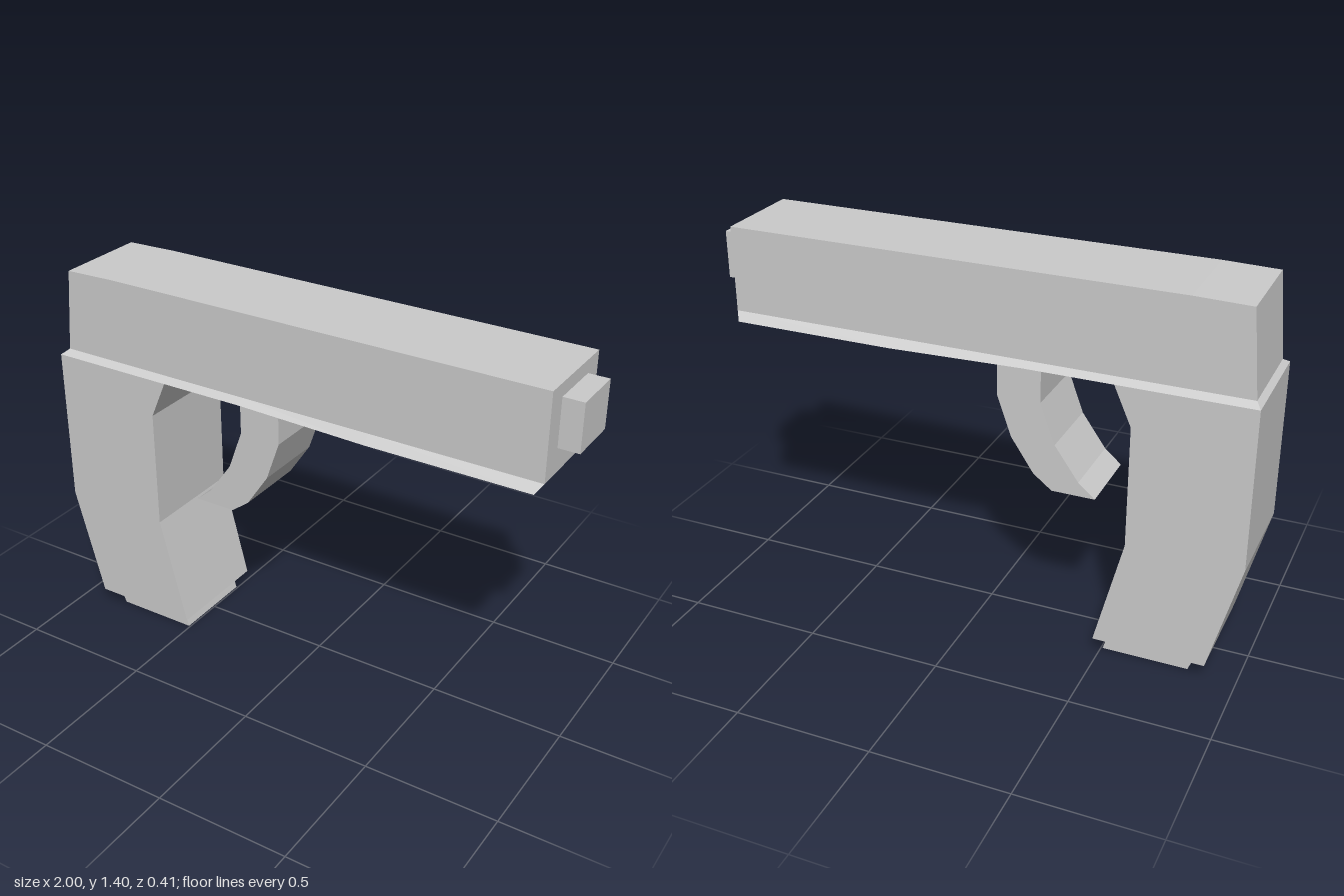
import * as THREE from 'three';

const material = new THREE.MeshStandardMaterial({ color: 0xcccccc, flatShading: true });

function addMesh(group, name, geometry) {
  const mesh = new THREE.Mesh(geometry, material);
  mesh.name = name;
  group.add(mesh);
  return mesh;
}

// Side outline extruded symmetrically about z = 0
function slab(points, halfWidth) {
  const shape = new THREE.Shape(points.map(([x, y]) => new THREE.Vector2(x, y)));
  const geometry = new THREE.ExtrudeGeometry(shape, { depth: halfWidth * 2, bevelEnabled: false });
  return geometry.translate(0, 0, -halfWidth);
}

// Four-cornered cross-sections joined along x and capped at both ends
function loft(sections) {
  const positions = sections.flat(2);
  const index = [];
  for (let i = 0; i < sections.length - 1; i++) {
    for (let k = 0; k < 4; k++) {
      const a = i * 4 + k, b = i * 4 + (k + 1) % 4;
      index.push(a, b, b + 4, a, b + 4, a + 4);
    }
  }
  const e = (sections.length - 1) * 4;
  index.push(0, 2, 1, 0, 3, 2, e, e + 1, e + 2, e, e + 2, e + 3);
  const indexed = new THREE.BufferGeometry();
  indexed.setAttribute('position', new THREE.Float32BufferAttribute(positions, 3));
  indexed.setIndex(index);
  const geometry = indexed.toNonIndexed();
  geometry.computeVertexNormals();
  return geometry;
}

export function createModel() {
  const model = new THREE.Group();
  model.name = 'blockyPistol';

  // Upper body with a slanted rear
  addMesh(model, 'slide', slab([
    [-0.98, 1.085], [0.925, 1.085], [0.925, 1.4], [-0.75, 1.4], [-0.95, 1.395],
  ], 0.177));

  // Flared rail under the slide: [top x, bottom x, bottom y]
  const stations = [[-0.98, -1, 1.068], [-0.2, -0.2, 1.068], [0.3, 0.3, 1.055], [0.925, 0.905, 1.055]];
  addMesh(model, 'rail', loft(stations.map(([tx, bx, by]) => [
    [tx, 1.085, -0.177], [tx, 1.085, 0.177], [bx, by, 0.206], [bx, by, -0.206],
  ])));

  // Muzzle block
  addMesh(model, 'muzzle', new THREE.BoxGeometry(0.075, 0.175, 0.198))
    .position.set(0.9625, 1.2625, 0);

  // Bent grip
  addMesh(model, 'grip', slab([
    [-1, 1.068], [-1, 0.48], [-0.89, 0.063], [-0.48, 0.063],
    [-0.583, 0.475], [-0.583, 0.925], [-0.52, 1.068],
  ], 0.206));

  // Magazine base below the grip
  addMesh(model, 'magazineBase', slab([
    [-0.847, 0.063], [-0.822, 0], [-0.506, 0], [-0.525, 0.063],
  ], 0.162));

  // Curved trigger
  addMesh(model, 'trigger', slab([
    [-0.24, 1.068], [-0.24, 0.92], [-0.295, 0.77], [-0.385, 0.643], [-0.447, 0.59],
    [-0.287, 0.59], [-0.218, 0.643], [-0.133, 0.77], [-0.08, 0.92], [-0.08, 1.066],
  ], 0.14));

  return model;
}
